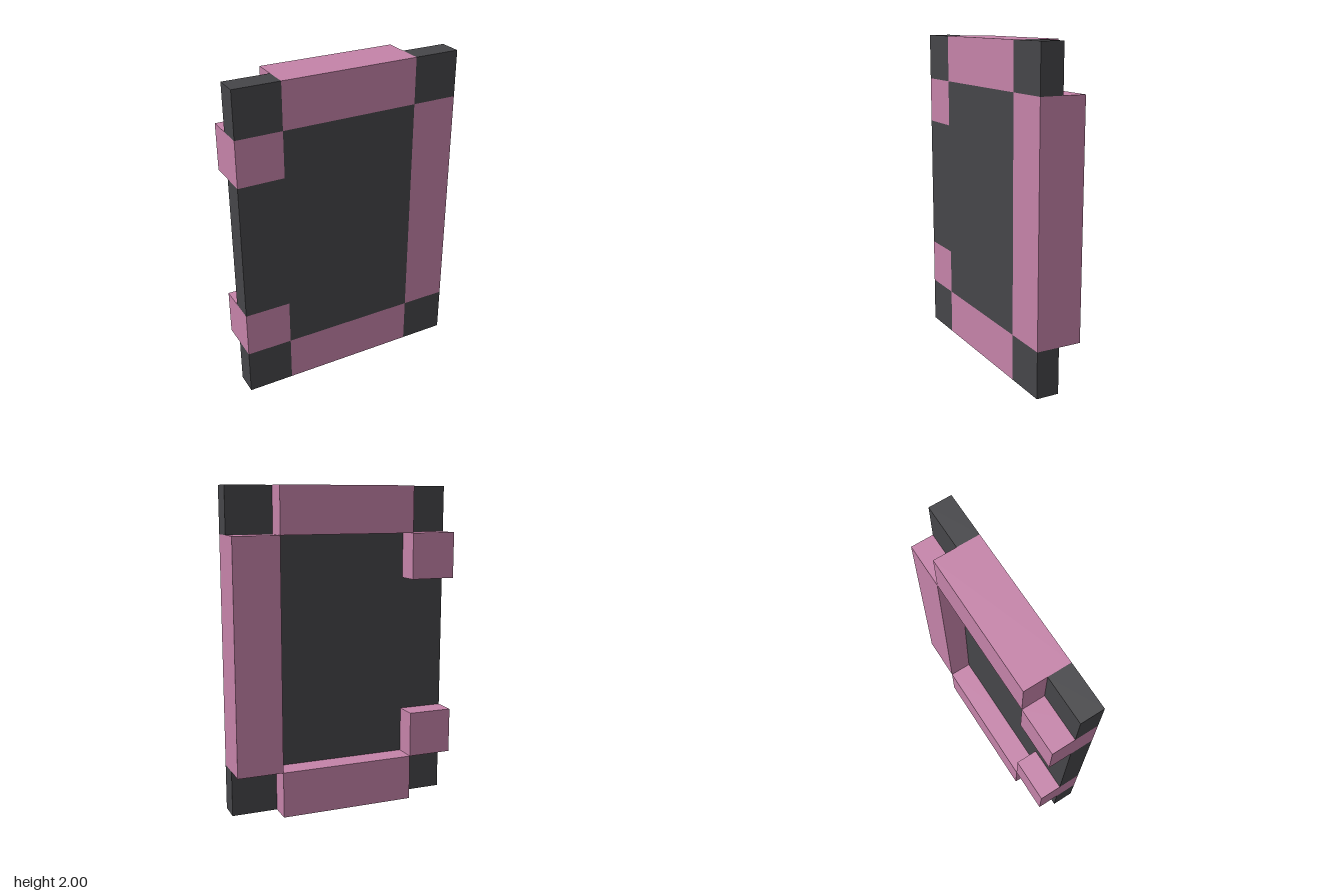
import * as THREE from 'three';

// The model sits on a 5 x 7 grid of square cells
const U = 2 / 7;

export function createModel() {
  const model = new THREE.Group();
  const pink = new THREE.MeshStandardMaterial({ color: 0xc583a9 });
  pink.name = 'pink';
  const dark = new THREE.MeshStandardMaterial({ color: 0x464649 });
  dark.name = 'charcoal';

  // Block covering grid cells, from column and row, with its front at z = U / 2
  function block(name, material, col, row, cols, rows, depth) {
    const mesh = new THREE.Mesh(new THREE.BoxGeometry(cols * U, rows * U, depth), material);
    mesh.name = name;
    mesh.position.set((col + cols / 2 - 2.5) * U, (row + rows / 2) * U, (U - depth) / 2);
    model.add(mesh);
  }

  // Thin backing plate, fitted around the raised blocks
  block('centrePlate', dark, 1, 1, 3, 5, U / 2);
  block('sidePlate', dark, 0, 2, 1, 3, U / 2);
  for (const row of [0, 6]) {
    for (const col of [0, 4]) block('cornerPlate', dark, col, row, 1, 1, U / 2);
  }

  // Full-depth bars and end blocks
  block('topBar', pink, 1, 6, 3, 1, U);
  block('bottomBar', pink, 1, 0, 3, 1, U);
  block('leftBar', pink, 4, 1, 1, 5, U);
  for (const row of [1, 5]) block('endBlock', pink, 0, row, 1, 1, U);

  return model;
}
